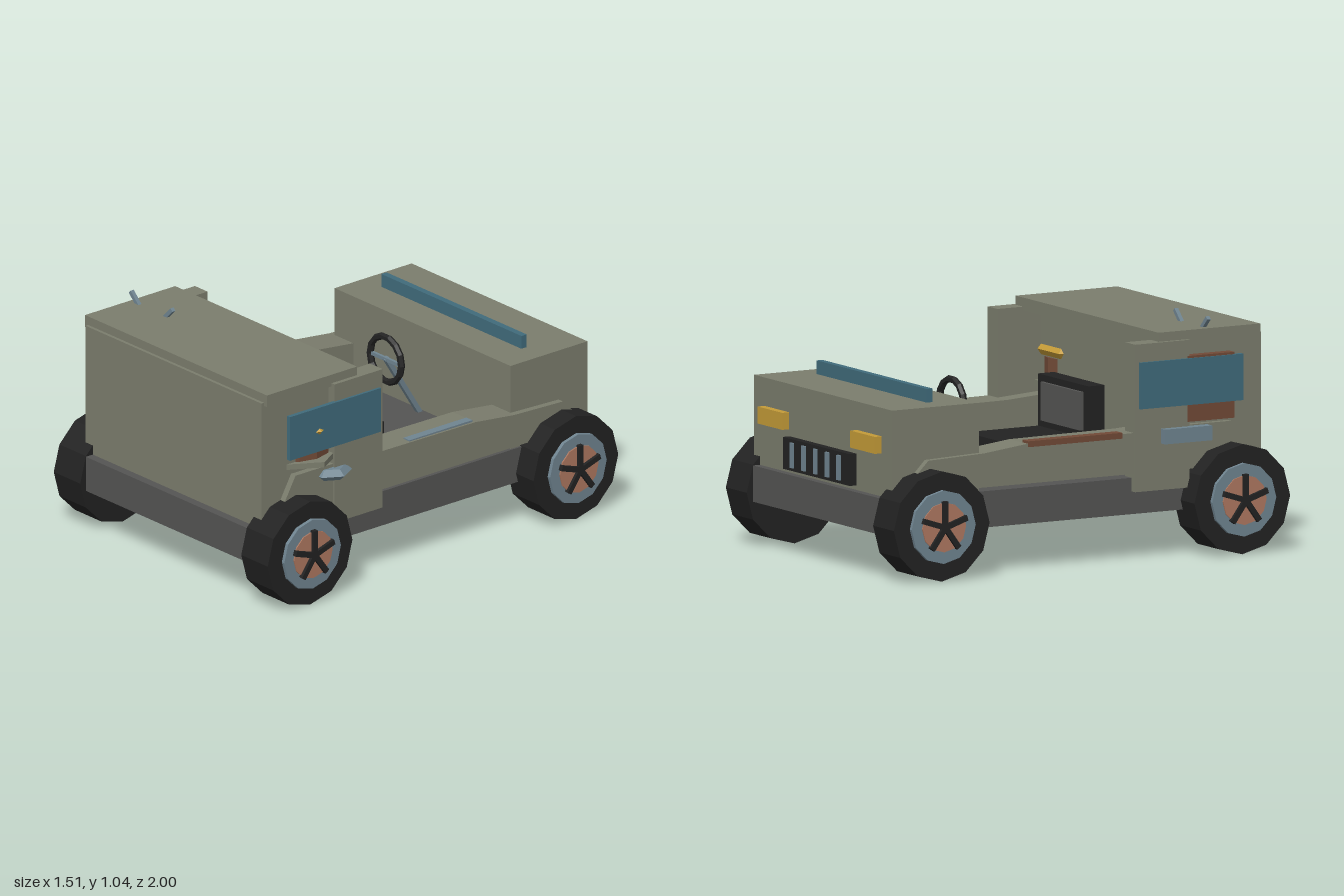
import * as THREE from 'three';

const mat = (name, color) => {
  const m = new THREE.MeshStandardMaterial({ color });
  m.name = name;
  return m;
};

export function createModel() {
  const green = mat('olive paint', 0x7b7d6d);
  const grey = mat('chassis grey', 0x545453);
  const black = mat('rubber black', 0x222222);
  const blue = mat('panel blue', 0x406b7b);
  const steel = mat('steel blue', 0x6f8490);
  const copper = mat('hub copper', 0xae7860);
  const brown = mat('leather brown', 0x714a37);
  const yellow = mat('lamp yellow', 0xc49b38);

  const car = new THREE.Group();
  car.name = 'offRoadCar';

  // Faceted mesh
  const add = (name, geo, material, parent = car) => {
    const g = geo.index ? geo.toNonIndexed() : geo;
    g.computeVertexNormals();
    const mesh = new THREE.Mesh(g, material);
    mesh.name = name;
    parent.add(mesh);
    return mesh;
  };
  // Box given by its limits on each axis
  const box = (name, material, [x0, x1], [y0, y1], [z0, z1], parent = car) => {
    const g = new THREE.BoxGeometry(x1 - x0, y1 - y0, z1 - z0);
    g.translate((x0 + x1) / 2, (y0 + y1) / 2, (z0 + z1) / 2);
    return add(name, g, material, parent);
  };
  // Slim square bar between two points
  const bar = (name, material, a, b, t) => {
    const p = new THREE.Vector3(...a), q = new THREE.Vector3(...b);
    const m = add(name, new THREE.BoxGeometry(t, p.distanceTo(q), t), material);
    m.position.copy(p).add(q).multiplyScalar(0.5);
    m.quaternion.setFromUnitVectors(new THREE.Vector3(0, 1, 0), q.sub(p).normalize());
    return m;
  };
  const lathe = (name, material, pts, sides, x, z) => {
    const g = new THREE.LatheGeometry(pts.map(p => new THREE.Vector2(...p)), sides, Math.PI / 2);
    const m = add(name, g, material);
    m.position.set(x, 0, z);
    return m;
  };

  // Chassis, cabin, roof and bonnet
  box('chassis', grey, [-0.6, 0.6], [0.2, 0.36], [-0.97, 0.97]);
  box('cabin', green, [-0.59, 0.59], [0.36, 0.95], [0.49, 0.93]);
  box('roof', green, [-0.61, 0.61], [0.935, 0.99], [0.4, 0.915]);
  box('bonnet', green, [-0.59, 0.59], [0.36, 0.75], [-0.935, -0.495]);
  box('bonnetBar', blue, [-0.47, 0.47], [0.75, 0.81], [-0.69, -0.66]);

  // Side sills with sloping fender ends
  const profile = [[0.84, 0.38], [0.82, 0.47], [0.76, 0.575], [0.5, 0.575], [0.27, 0.56],
    [-0.27, 0.555], [-0.49, 0.53], [-0.77, 0.52], [-0.84, 0.45], [-0.84, 0.38]];
  for (const s of [-1, 1]) {
    const shape = new THREE.Shape(profile.map(([z, y]) => new THREE.Vector2(-z, y)));
    const g = new THREE.ExtrudeGeometry(shape, { depth: 0.155, bevelEnabled: false });
    g.rotateY(Math.PI / 2);
    g.translate(s > 0 ? 0.465 : -0.62, 0, 0);
    add('sill', g, green);
    const span = (a, b) => (s > 0 ? [a, b] : [-b, -a]);
    box('doorPost', green, span(0.545, 0.63), [0.3, 0.95], [0.27, 0.545]);
    box('sidePanel', blue, span(0.622, 0.642), [0.665, 0.87], [0.29, 0.81]);
    box('headlight', yellow, span(0.29, 0.5), [0.55, 0.625], [-0.97, -0.93]);
  }

  // Strips on top of the sills
  box('leftSillStrip', steel, [0.57, 0.61], [0.54, 0.564], [-0.26, 0.1]);
  box('rightSillStrip', brown, [-0.622, -0.57], [0.54, 0.566], [-0.265, 0.21]);

  // Grille
  box('grille', black, [-0.285, 0.285], [0.38, 0.52], [-0.97, -0.93]);
  for (let i = -2; i <= 2; i++)
    box('grilleBar', steel, [i * 0.1 - 0.012, i * 0.1 + 0.012], [0.395, 0.505], [-0.98, -0.965]);

  // Lantern on its shelf, poking through the cabin walls
  lathe('lanternShelf', green, [[0, 0.6], [0.215, 0.6], [0.215, 0.625], [0, 0.625]], 6, 0.46, 0.64);
  lathe('lanternBase', brown, [[0, 0.625], [0.165, 0.625], [0.165, 0.73], [0, 0.73]], 12, 0.46, 0.64);
  lathe('lanternCap', yellow, [[0, 0.73], [0.17, 0.73], [0.195, 0.76], [0.13, 0.82], [0, 0.82]], 6, 0.46, 0.64);

  // Cabin side fittings
  lathe('leftSideFitting', steel, [[0, 0.51], [0.07, 0.51], [0.1, 0.535], [0.07, 0.56], [0, 0.56]], 6, 0.59, 0.54);
  box('rightSideFitting', steel, [-0.665, -0.6], [0.505, 0.57], [0.4, 0.64]);
  box('rightSidePack', brown, [-0.635, -0.58], [0.59, 0.88], [0.535, 0.77]);

  // Roof prongs
  bar('roofProng', steel, [-0.605, 1.035, 0.655], [-0.55, 0.98, 0.655], 0.018);
  bar('roofProng', steel, [-0.325, 1.035, 0.655], [-0.38, 0.98, 0.655], 0.018);

  // Seat
  box('seatBase', black, [-0.215, 0.215], [0.36, 0.48], [-0.09, 0.39]);
  box('seatBack', black, [-0.215, 0.215], [0.48, 0.71], [0.28, 0.36]);
  box('seatBackPad', grey, [-0.17, 0.17], [0.51, 0.68], [0.265, 0.285]);

  // Steering wheel and column
  const steering = add('steeringWheel', new THREE.TorusGeometry(0.105, 0.016, 6, 14), black);
  steering.position.set(0, 0.655, -0.285);
  bar('steeringColumn', steel, [0, 0.66, -0.285], [0, 0.35, -0.48], 0.022);
  box('steeringCrossbar', steel, [-0.1, 0.1], [0.648, 0.664], [-0.292, -0.278]);

  // Wheels, built facing +x and turned for the other side
  for (const side of [-1, 1]) for (const z of [-0.76, 0.76]) {
    const wheel = new THREE.Group();
    wheel.name = 'wheel';
    const disc = (name, material, r, x0, x1) => {
      const g = new THREE.CylinderGeometry(r, r, x1 - x0, 12);
      g.rotateZ(-Math.PI / 2);
      g.translate((x0 + x1) / 2, 0, 0);
      add(name, g, material, wheel);
    };
    disc('tyre', black, 0.242, 0.54, 0.718);
    disc('rim', steel, 0.162, 0.71, 0.735);
    disc('hub', copper, 0.11, 0.73, 0.741);
    for (let i = 0; i < 5; i++) {
      const g = new THREE.BoxGeometry(0.025, 0.115, 0.025);
      g.translate(0.743, 0.0575, 0);
      g.rotateX((i * Math.PI * 2) / 5);
      add('spoke', g, black, wheel);
    }
    if (side < 0) wheel.rotation.y = Math.PI;
    wheel.position.set(0, 0.242, z);
    car.add(wheel);
  }
  return car;
}
